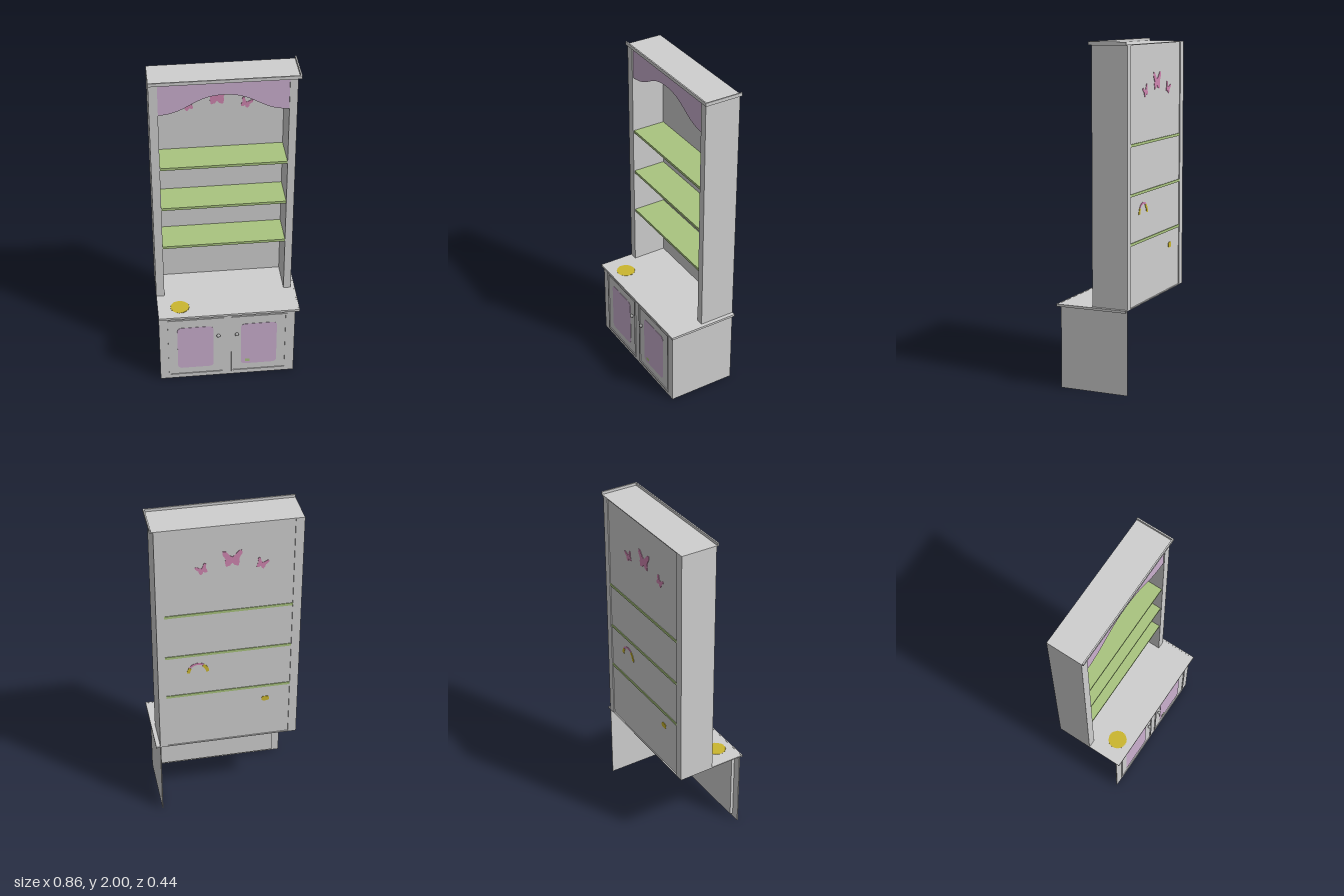
import * as THREE from 'three';

const paint = (name, color) => {
  const m = new THREE.MeshStandardMaterial({ color });
  m.name = name;
  return m;
};

export function createModel() {
  const model = new THREE.Group();
  model.name = 'hutchCabinet';
  const white = paint('paintedWood', 0xcfcfcf);
  const lilac = paint('lilac', 0xcbb0cf);
  const green = paint('leafGreen', 0xa9c47f);
  const pink = paint('pink', 0xcf86b0);
  const yellow = paint('sunYellow', 0xcbb62f);
  const metal = paint('knobGrey', 0xb4b4b4);

  const add = (name, geo, mat, parent = model) => {
    const mesh = new THREE.Mesh(geo, mat);
    mesh.name = name;
    parent.add(mesh);
    return mesh;
  };
  // box given by its limits on each axis
  const box = (name, mat, x0, x1, y0, y1, z0, z1, parent) => {
    const g = new THREE.BoxGeometry(x1 - x0, y1 - y0, z1 - z0);
    g.translate((x0 + x1) / 2, (y0 + y1) / 2, (z0 + z1) / 2);
    return add(name, g, mat, parent);
  };
  // flat plate cut from a shape, in the xy plane
  const plate = (name, mat, shape, z, depth, parent) => {
    const g = new THREE.ExtrudeGeometry(shape, { depth, bevelEnabled: false, curveSegments: 16 });
    g.translate(0, 0, z);
    return add(name, g, mat, parent);
  };

  const L = -0.43, R = 0.40, IL = -0.38, IR = 0.355, BACK = -0.218;

  // Lower cabinet: open at the back, underneath and at one end
  const base = new THREE.Group();
  base.name = 'baseCabinet';
  model.add(base);
  box('frontPanel', white, L, R, 0, 0.49, 0.194, 0.2, base);
  box('innerFrontPanel', white, IL, IR, 0.022, 0.485, 0.175, 0.194, base);
  box('sidePanel', white, R - 0.005, R, 0, 0.49, BACK, 0.194, base);

  // Counter sheet with a lip along the front and one end
  box('counter', white, L, 0.42, 0.494, 0.5, BACK, 0.212, base);
  box('counterFrontLip', white, L, 0.425, 0.487, 0.501, 0.21, 0.218, base);
  box('counterEndLip', white, 0.417, 0.425, 0.487, 0.501, BACK, 0.21, base);

  // Doors: moulding frame, rounded lilac panel, knob
  const roundedRect = (x0, x1, y0, y1, r) => {
    const s = new THREE.Shape();
    s.absarc(x1 - r, y1 - r, r, 0, Math.PI / 2);
    s.absarc(x0 + r, y1 - r, r, Math.PI / 2, Math.PI);
    s.absarc(x0 + r, y0 + r, r, Math.PI, Math.PI * 1.5);
    s.absarc(x1 - r, y0 + r, r, Math.PI * 1.5, Math.PI * 2);
    s.closePath();
    return s;
  };
  const rectPath = (x0, x1, y0, y1) => new THREE.Shape([
    new THREE.Vector2(x0, y0), new THREE.Vector2(x1, y0),
    new THREE.Vector2(x1, y1), new THREE.Vector2(x0, y1)]);
  for (const [x0, px0, kx] of [[-0.377, -0.32, -0.07], [0.01, 0.07, 0.043]]) {
    const door = new THREE.Group();
    door.name = 'door';
    base.add(door);
    const x1 = x0 + 0.342;
    const frame = rectPath(x0, x1, 0.024, 0.465);
    frame.holes.push(rectPath(x0 + 0.01, x1 - 0.01, 0.034, 0.455));
    plate('doorMoulding', white, frame, 0.2, 0.005, door);
    plate('doorPanel', lilac, roundedRect(px0, px0 + 0.22, 0.08, 0.402, 0.025), 0.2, 0.002, door);
    const stem = add('knobStem', new THREE.CylinderGeometry(0.004, 0.004, 0.012, 10), metal, door);
    stem.rotation.x = Math.PI / 2;
    stem.position.set(kx, 0.33, 0.204);
    const knob = add('knob', new THREE.SphereGeometry(0.012, 16, 12), metal, door);
    knob.scale.z = 0.75;
    knob.position.set(kx, 0.33, 0.21);
  }
  box('leafDecal', green, 0.095, 0.125, 0.098, 0.118, 0.2, 0.203, base);

  // Upper bookcase
  const hutch = new THREE.Group();
  hutch.name = 'bookcase';
  model.add(hutch);
  box('sidePost', white, L, IL, 0.5, 1.98, BACK, 0, hutch);
  box('sidePost', white, IR, R, 0.5, 1.98, BACK, 0, hutch);
  box('backPanel', white, IL, IR, 0.5, 1.98, -0.212, -0.208, hutch);
  for (const y of [0.863, 1.143, 1.424])
    box('shelf', green, IL, IR, y - 0.008, y + 0.008, BACK + 0.002, -0.006, hutch);

  // Top sheet and raised trim
  box('topPanel', white, L, R + 0.015, 1.979, 1.984, BACK, 0.008, hutch);
  box('topFrontTrim', white, L, 0.42, 1.98, 2, 0.004, 0.012, hutch);
  box('topEndTrim', white, 0.412, 0.42, 1.98, 2, BACK, 0.004, hutch);

  // Arched valance
  const v = new THREE.Shape();
  v.moveTo(IL, 1.979);
  v.lineTo(IL, 1.785);
  v.bezierCurveTo(-0.21, 1.79, -0.19, 1.897, -0.0125, 1.897);
  v.bezierCurveTo(0.165, 1.897, 0.185, 1.79, IR, 1.785);
  v.lineTo(IR, 1.979);
  v.closePath();
  plate('valance', lilac, v, -0.014, 0.008, hutch);

  // Painted details showing on both faces of the back panel
  const DZ = -0.2145, DD = 0.009;
  const wing = [[0, -0.025], [0.012, -0.04], [0.034, -0.046], [0.04, -0.02], [0.037, 0], [0.054, 0.03],
    [0.052, 0.05], [0.036, 0.048], [0.012, 0.02], [0, 0.012]];
  const outline = wing.concat(wing.slice(1, -1).reverse().map(([x, y]) => [-x, y]));
  for (const [x, y, s, turn] of [[-0.031, 1.766, 1.03, 0], [-0.198, 1.716, 0.62, 0.4], [0.137, 1.716, 0.62, -0.4]]) {
    const shape = new THREE.Shape(outline.map(([a, b]) => new THREE.Vector2(a, b)));
    const b = plate('butterfly', pink, shape, 0, DD, hutch);
    b.scale.set(s, s, 1);
    b.rotation.z = turn;
    b.position.set(x, y, DZ);
  }
  const arc = (name, mat, r0, r1, a0, a1) => {
    const s = new THREE.Shape();
    s.absarc(0, 0, r1, a0, a1, false);
    s.absarc(0, 0, r0, a1, a0, true);
    s.closePath();
    plate(name, mat, s, 0, DD, hutch).position.set(0.166, 1.019, DZ);
  };
  arc('rainbowEnd', yellow, 0.046, 0.065, 0, 0.65);
  arc('rainbowEnd', yellow, 0.046, 0.065, Math.PI - 1.0, Math.PI);
  arc('rainbowTop', pink, 0.054, 0.066, 0.65, Math.PI - 1.0);
  plate('flowerDecal', yellow, roundedRect(-0.258, -0.213, 0.753, 0.785, 0.013), DZ, DD, hutch);

  // Sun with a jagged rim, showing on both faces of the counter
  const rays = 44, sun = new THREE.Shape();
  for (let i = 0; i < rays * 2; i++) {
    const a = (i * Math.PI) / rays, r = i % 2 ? 0.054 : 0.058;
    sun[i ? 'lineTo' : 'moveTo'](r * Math.cos(a), r * Math.sin(a));
  }
  sun.closePath();
  const disc = plate('sun', yellow, sun, 0, 0.009, base);
  disc.rotation.x = -Math.PI / 2;
  disc.position.set(-0.295, 0.4925, 0.118);

  return model;
}
